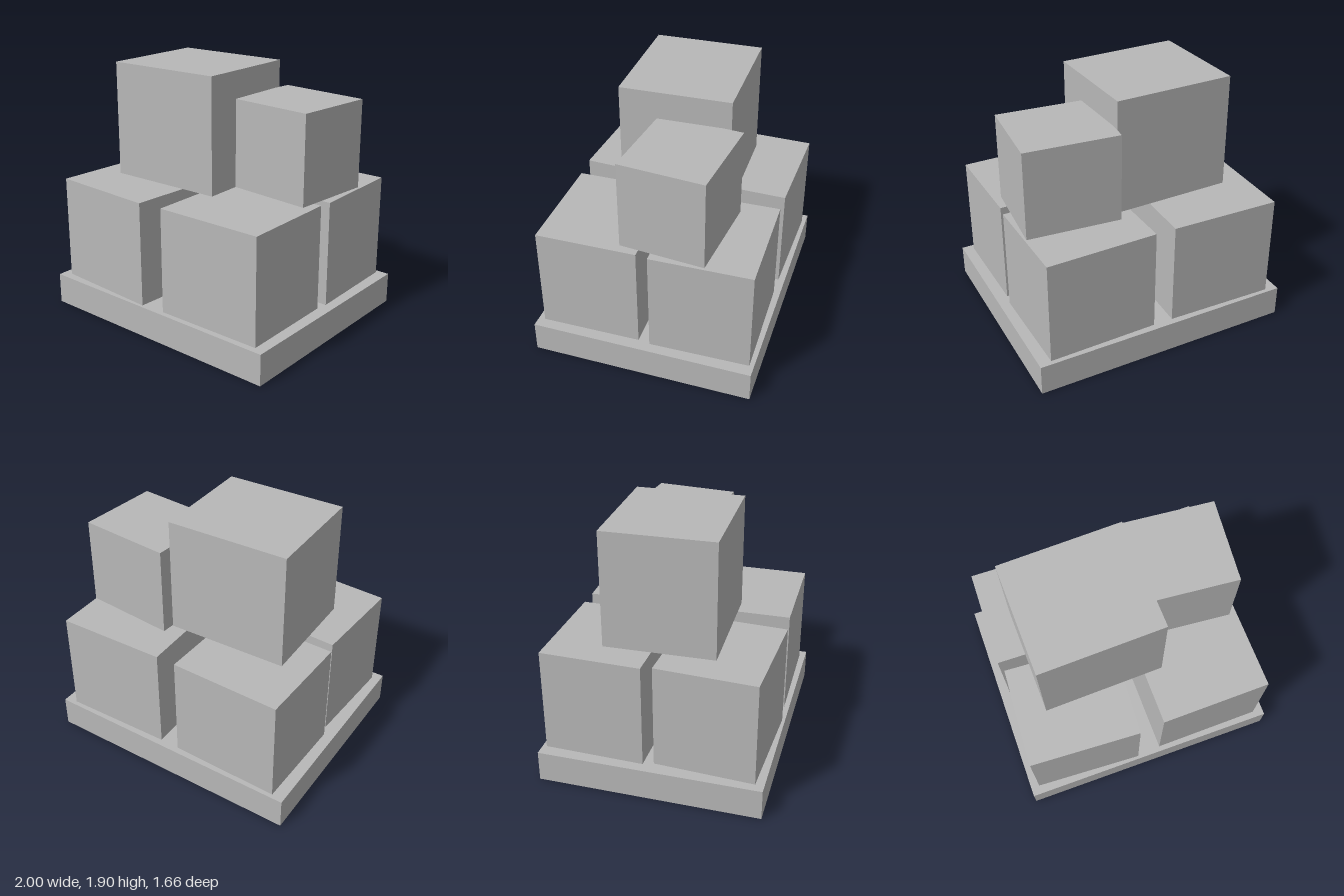
import * as THREE from 'three';

export function createModel() {
  const model = new THREE.Group();
  model.name = 'stackedCrates';

  const grey = new THREE.MeshStandardMaterial({ color: 0xb8b8b8 });
  grey.name = 'plain grey';

  // Box placed by its centre in plan, its bottom and top heights, and its turn about y
  function addBox(name, width, depth, bottom, top, x, z, turn = 0) {
    const box = new THREE.Mesh(new THREE.BoxGeometry(width, top - bottom, depth), grey);
    box.name = name;
    box.position.set(x, (bottom + top) / 2, z);
    box.rotation.y = turn;
    model.add(box);
  }

  // Pallet
  addBox('pallet', 2, 1.665, 0, 0.235, 0, 0);

  // Lower layer: four equal crates, each slightly askew
  const lowerCrates = [
    ['backRightCrate', -0.498, -0.419, -0.022],
    ['backLeftCrate', 0.5, -0.417, 0.021],
    ['frontRightCrate', -0.498, 0.415, -0.053],
    ['frontLeftCrate', 0.498, 0.415, 0.012],
  ];
  for (const [name, x, z, turn] of lowerCrates) {
    addBox(name, 0.832, 0.747, 0.235, 1.027, x, z, turn);
  }

  // Upper layer: a large and a small crate
  addBox('largeTopCrate', 0.912, 0.82, 1.037, 1.905, -0.25, -0.002, 0.026);
  addBox('smallTopCrate', 0.7, 0.631, 1.037, 1.7, 0.531, -0.17, -0.087);

  return model;
}
